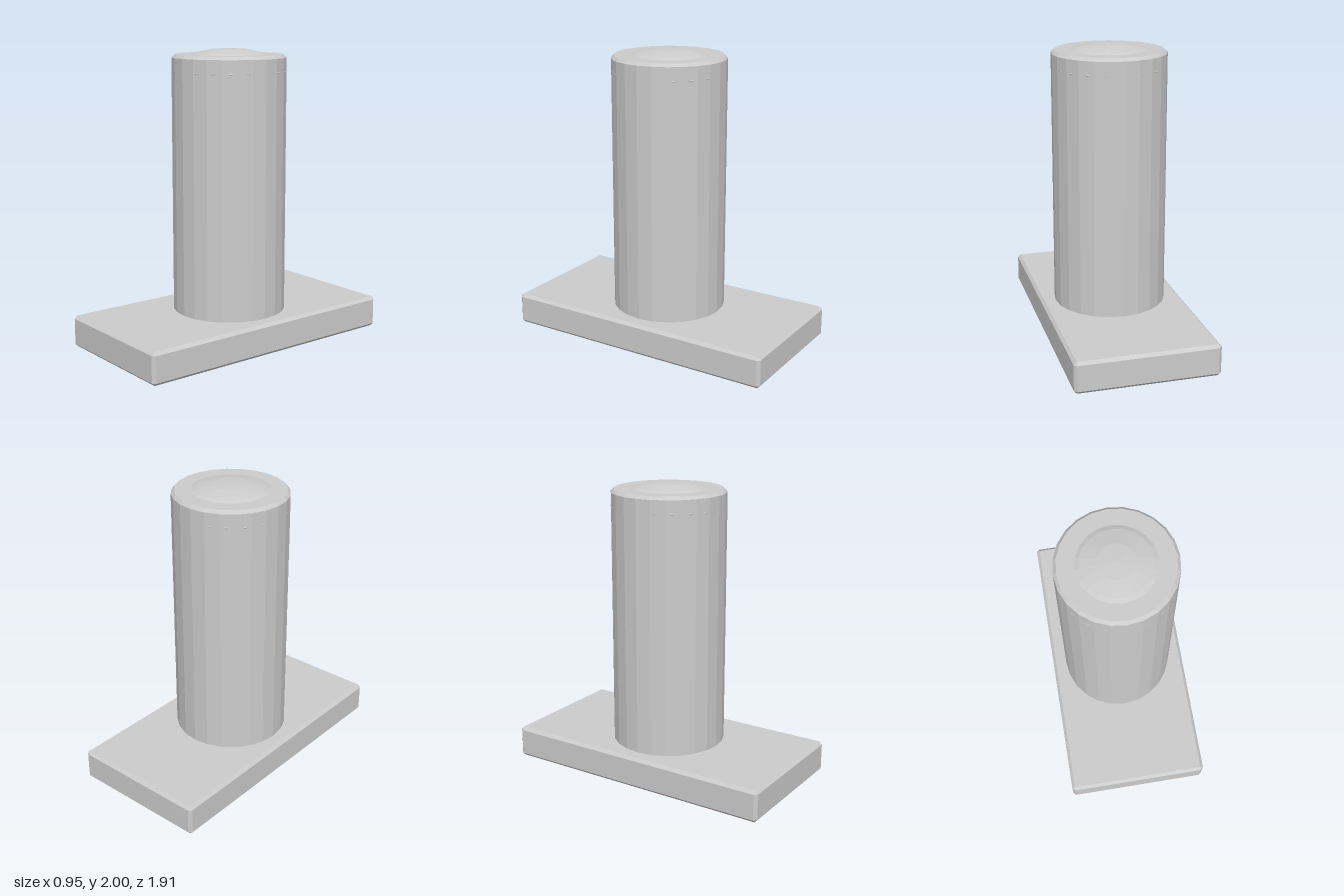
import * as THREE from 'three';
import { ConvexGeometry } from 'three/addons/geometries/ConvexGeometry.js';

const material = new THREE.MeshStandardMaterial({ color: 0xcccccc, flatShading: true });

function addPart(parent, name, geometry, y) {
  const mesh = new THREE.Mesh(geometry, material);
  mesh.name = name;
  mesh.position.y = y;
  parent.add(mesh);
}

// Box with every edge chamfered by c; half sizes hx, hy, hz
function chamferedBox(hx, hy, hz, c) {
  const points = [];
  for (const sx of [-1, 1]) for (const sy of [-1, 1]) for (const sz of [-1, 1]) {
    points.push(
      new THREE.Vector3(sx * hx, sy * (hy - c), sz * (hz - c)),
      new THREE.Vector3(sx * (hx - c), sy * hy, sz * (hz - c)),
      new THREE.Vector3(sx * (hx - c), sy * (hy - c), sz * hz)
    );
  }
  return new ConvexGeometry(points);
}

export function createModel() {
  const group = new THREE.Group();
  group.name = 'columnOnPlate';
  const radius = 0.381, bevel = 0.02, bottom = 0.04, top = 1.96;

  // Rectangular foot
  addPart(group, 'basePlate', chamferedBox(0.477, 0.1075, 0.955, bevel), 0.1275);

  // Column with chamfered rims, running down into the foot
  const profile = [
    [0, bottom], [radius - bevel, bottom], [radius, bottom + bevel],
    [radius, top - bevel], [radius - bevel, top], [0, top],
  ].map(([r, y]) => new THREE.Vector2(r, y));
  addPart(group, 'column', new THREE.LatheGeometry(profile, 24), 0);

  // Flattened spheres whose caps show through both ends
  for (const [name, y] of [['topDome', 1.85], ['bottomDome', 0.15]]) {
    addPart(group, name, new THREE.SphereGeometry(radius, 20, 10).scale(1, 0.15 / radius, 1), y);
  }
  return group;
}
